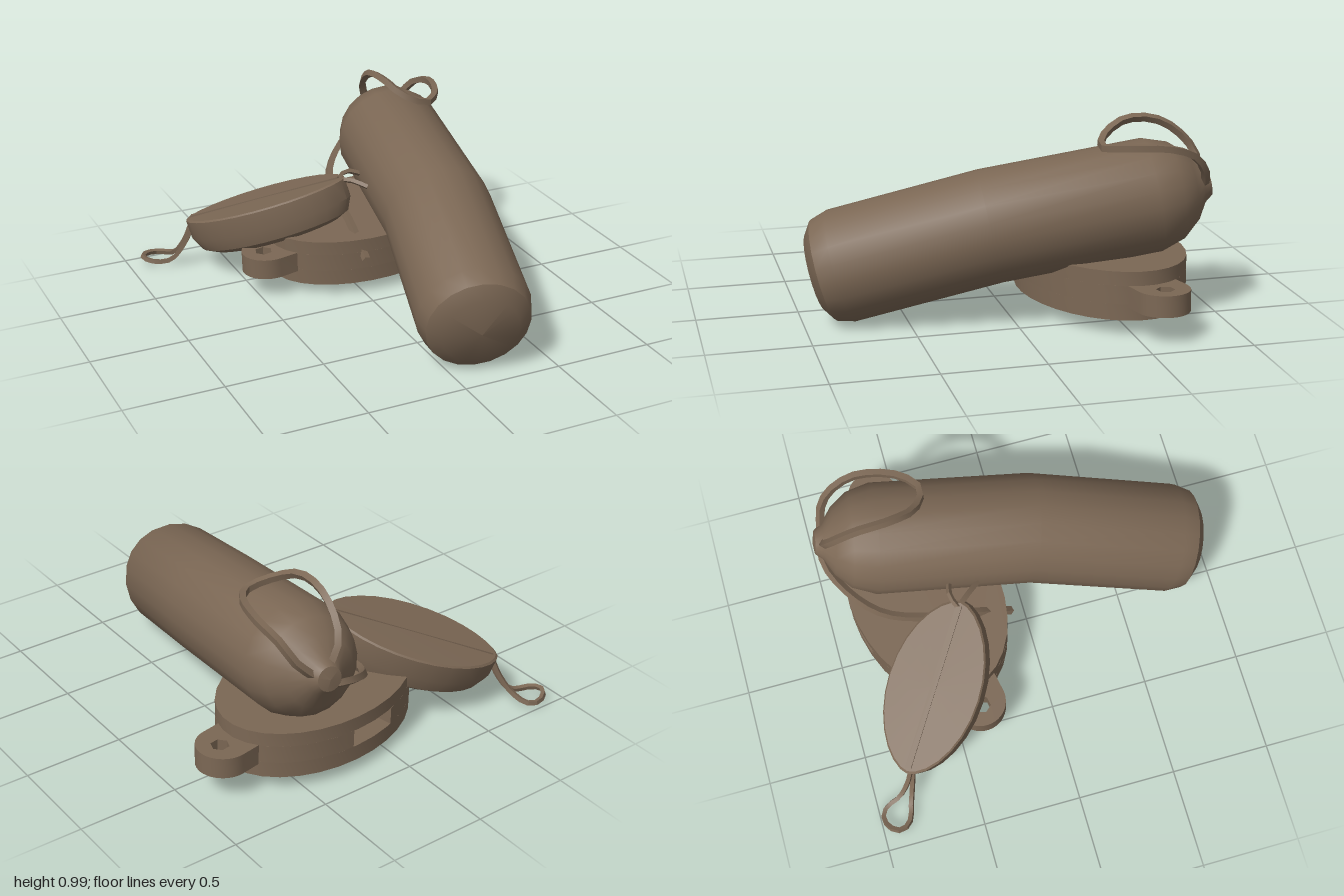
import * as THREE from 'three';
import { toCreasedNormals } from 'three/addons/utils/BufferGeometryUtils.js';

const V = (x, y, z) => new THREE.Vector3(x, y, z);

const brown = new THREE.MeshStandardMaterial({ color: 0x7b6754 });
brown.name = 'brown';

function add(parent, name, geometry) {
  const mesh = new THREE.Mesh(geometry, brown);
  mesh.name = name;
  parent.add(mesh);
  return mesh;
}

// Skin a list of point rings (counter-clockwise around the travel direction)
function loft(rings, crease) {
  const n = rings[0].length;
  const index = [];
  for (let i = 0; i < rings.length - 1; i++) {
    for (let j = 0; j < n; j++) {
      const a = i * n + j, b = i * n + (j + 1) % n;
      index.push(a, b, a + n, b, b + n, a + n);
    }
  }
  const g = new THREE.BufferGeometry().setFromPoints(rings.flat());
  g.setIndex(index);
  return toCreasedNormals(g, crease);
}

// Round ring at a centre, facing direction d
function ring(c, d, r, n = 20) {
  const u = V(0, 1, 0).cross(d).normalize();
  const v = d.clone().cross(u);
  return Array.from({ length: n }, (_, j) => {
    const t = j / n * Math.PI * 2;
    return c.clone().addScaledVector(u, r * Math.cos(t)).addScaledVector(v, r * Math.sin(t));
  });
}

// Slightly bent canister with a blunt front and a tapered back
function canister() {
  const p0 = V(0.14, 0.285, 0.82), p1 = V(0.315, 0.488, 0.1), p2 = V(0.42, 0.62, -0.68);
  const d0 = p1.clone().sub(p0).normalize(), d1 = p2.clone().sub(p1).normalize();
  const mid = d0.clone().add(d1).normalize();
  const at = (p, d, s, r) => ring(p.clone().addScaledVector(d, s), d, r);
  return loft([
    at(p0, d0, -0.135, 0.001), at(p0, d0, -0.11, 0.19), at(p0, d0, -0.065, 0.255), at(p0, d0, 0.02, 0.28),
    at(p1, mid, 0, 0.28),
    at(p2, d1, 0, 0.28), at(p2, d1, 0.12, 0.24), at(p2, d1, 0.2, 0.17),
    at(p2, d1, 0.25, 0.09), at(p2, d1, 0.29, 0.06), at(p2, d1, 0.3, 0.001),
  ], 0.6);
}

// Upright extrusion between two heights
function slab(shape, y0, y1) {
  const g = new THREE.ExtrudeGeometry(shape, { depth: y1 - y0, bevelEnabled: false, curveSegments: 10 });
  g.rotateX(-Math.PI / 2).translate(0, y0, 0);
  return toCreasedNormals(g, 0.6);
}

// Oval case with a slot in its back wall and two drilled lugs
function ovalCase() {
  const group = new THREE.Group();
  group.name = 'ovalCase';
  const a = 0.565, b = 0.38;
  const oval = (t0, t1, inner = []) => {
    const pts = [];
    for (let i = 0; i <= 32; i++) {
      const t = t0 + (t1 - t0) * i / 32;
      pts.push(new THREE.Vector2(a * Math.cos(t), b * Math.sin(t)));
    }
    return new THREE.Shape([...pts, ...inner]);
  };
  const half = 0.135, t = Math.acos(half / a);
  const full = oval(0, Math.PI * 2 * 31.99 / 32);
  const notched = oval(Math.PI - t, Math.PI * 2 + t,
    [new THREE.Vector2(half, 0.2), new THREE.Vector2(-half, 0.2)]);
  add(group, 'caseBase', slab(full, 0.085, 0.165));
  add(group, 'slottedWall', slab(notched, 0.165, 0.255));
  add(group, 'caseTop', slab(full, 0.255, 0.325));

  const lug = new THREE.Shape();
  lug.moveTo(0.4, -0.13);
  lug.lineTo(0.63, -0.13);
  lug.absarc(0.63, 0, 0.13, -Math.PI / 2, Math.PI / 2, false);
  lug.lineTo(0.4, 0.13);
  const hole = new THREE.Path();
  for (let i = 0; i < 6; i++) {
    const h = -i * Math.PI / 3, x = 0.65 + 0.045 * Math.cos(h), y = 0.045 * Math.sin(h);
    i ? hole.lineTo(x, y) : hole.moveTo(x, y);
  }
  hole.closePath();
  lug.holes.push(hole);
  add(group, 'leftLug', slab(lug, 0.15, 0.255));
  add(group, 'rightLug', slab(lug, 0.15, 0.255)).rotation.y = Math.PI;

  group.rotation.set(0, 0.2, 0.022, 'ZYX');
  group.position.set(0.19, 0, -0.49);
  return group;
}

// Leaf-shaped pouch, built flat and then tilted into place
function pouch() {
  const group = new THREE.Group();
  group.name = 'pouch';
  const outline = (scale, z) => Array.from({ length: 28 }, (_, j) => {
    const t = j / 28 * Math.PI * 2, c = Math.cos(t);
    return V(0.24 * c * Math.abs(c) ** 0.2 * scale, 0.45 * Math.sin(t) * scale, z);
  });
  add(group, 'pouchBody', loft([
    outline(0.001, -0.2), outline(0.8, -0.195), outline(0.92, -0.17),
    outline(1, -0.1), outline(1, 0), outline(0.97, 0.008), outline(0.001, 0.012),
  ], 0.5));
  add(group, 'pouchSeam', new THREE.BoxGeometry(0.03, 0.84, 0.009)).position.z = 0.012;

  const L = V(0.72, 0.3, 0.49).normalize();
  const N = V(-0.55, 0.1, 0.83).cross(L).normalize();
  const W = L.clone().cross(N);
  group.setRotationFromMatrix(new THREE.Matrix4().makeBasis(W, L, N));
  group.position.set(-0.355, 0.43, -0.575);
  return group;
}

// Faceted cord through a few points
function cord(points, radius, segments) {
  const path = new THREE.CatmullRomCurve3(points.map(p => V(...p)));
  return toCreasedNormals(new THREE.TubeGeometry(path, segments, radius, 4), 0.5);
}

export function createModel() {
  const model = new THREE.Group();
  model.name = 'beltKit';
  add(model, 'canister', canister());
  model.add(ovalCase(), pouch());

  // Carrying loop over the back of the canister
  add(model, 'carryingLoop', cord([
    [0.44, 0.68, -0.92], [0.37, 0.82, -0.91], [0.335, 0.96, -0.76], [0.335, 0.985, -0.58],
    [0.39, 0.93, -0.45], [0.5, 0.89, -0.4], [0.59, 0.9, -0.48], [0.65, 0.9, -0.68],
    [0.63, 0.85, -0.82], [0.59, 0.76, -0.89], [0.5, 0.67, -0.92],
  ], 0.022, 24));

  // Strap running down the side of the canister towards the pouch
  add(model, 'sideStrap', cord([
    [0.45, 0.62, -0.94], [0.35, 0.6, -0.94], [0.2, 0.53, -0.86], [0.08, 0.45, -0.72],
    [0.02, 0.39, -0.5], [0, 0.36, -0.3], [0, 0.22, -0.08],
  ], 0.022, 18));

  // Small tie from the pouch tip to the canister
  add(model, 'pouchTie', cord([[-0.03, 0.56, -0.36], [0.02, 0.57, -0.3], [0.08, 0.55, -0.23]], 0.014, 4));
  add(model, 'pouchTie', cord([[-0.03, 0.57, -0.36], [0.03, 0.59, -0.385], [0.12, 0.56, -0.37]], 0.014, 4));

  // Loose loop at the outer pouch tip
  add(model, 'pouchLoop', cord([
    [-0.69, 0.27, -0.79], [-0.72, 0.17, -0.82], [-0.76, 0.08, -0.88], [-0.79, 0.05, -0.96],
    [-0.84, 0.05, -0.985], [-0.9, 0.06, -0.96], [-0.925, 0.065, -0.91], [-0.89, 0.055, -0.86],
    [-0.8, 0.06, -0.83], [-0.73, 0.15, -0.8], [-0.69, 0.25, -0.78],
  ], 0.015, 22));
  return model;
}
